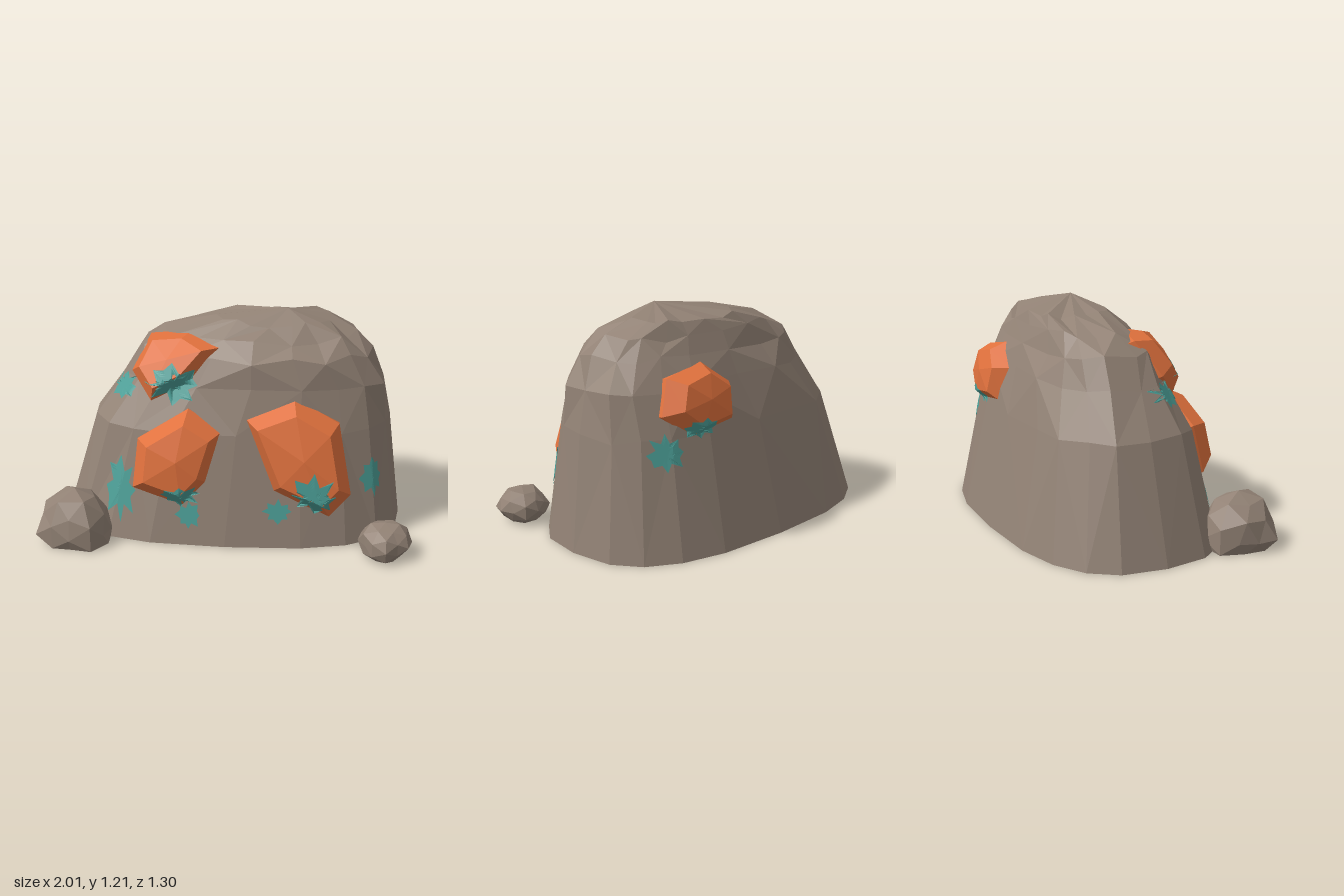
import * as THREE from 'three';

const stone = new THREE.MeshStandardMaterial({ color: 0x928275, side: THREE.DoubleSide });
const orange = new THREE.MeshStandardMaterial({ color: 0xe0713d, side: THREE.DoubleSide });
const teal = new THREE.MeshStandardMaterial({ color: 0x4c9f97, side: THREE.DoubleSide });
stone.name = 'stone';
orange.name = 'orange crystal';
teal.name = 'teal moss';

// Small seeded random, -1 to 1
function seeded(seed) {
  let s = seed;
  return () => {
    s = (s * 16807) % 2147483647;
    return (s / 2147483647) * 2 - 1;
  };
}

// Faceted mesh from a list of triangles, each made of three Vector3
function facets(name, triangles, material) {
  const geometry = new THREE.BufferGeometry().setFromPoints(triangles.flat());
  geometry.computeVertexNormals();
  const mesh = new THREE.Mesh(geometry, material);
  mesh.name = name;
  return mesh;
}

// Hollow rock mound, lofted through squarish rings
function makeMound() {
  const rand = seeded(77);
  const N = 20;
  // y, xMin, xMax, zFront, zBack, front squareness, back squareness, left-front recess, jitter
  const rings = [
    [0, -0.94, 0.97, 0.48, -0.65, 2.75, 2.75, 0, 0],
    [0.6, -0.765, 0.89, 0.37, -0.515, 2.7, 2.7, 0, 0.012],
    [0.84, -0.6, 0.865, 0.33, -0.44, 2.4, 2.7, 0.25, 0.016],
    [0.98, -0.49, 0.77, 0.31, -0.38, 2.3, 2.9, 0.38, 0.018],
    [1.07, -0.36, 0.68, 0.22, -0.34, 2.3, 2.9, 0.33, 0.018],
    [1.14, -0.08, 0.55, 0.12, -0.295, 2.2, 2.9, 0, 0.016],
  ];
  const power = (v, e) => Math.sign(v) * Math.abs(v) ** (2 / e);
  const loops = rings.map(([y, x0, x1, z1, z0, eFront, eBack, recess, j]) =>
    Array.from({ length: N }, (_, i) => {
      const a = (i / N) * Math.PI * 2;
      const e = Math.sin(a) > 0 ? eFront : eBack;
      const u = power(Math.cos(a), e);
      let w = power(Math.sin(a), e);
      if (w > 0 && u < 0) w *= 1 + recess * u;
      return new THREE.Vector3(
        (x0 + x1) / 2 + (u * (x1 - x0)) / 2 + rand() * j,
        y + rand() * j * 1.2,
        (z0 + z1) / 2 + (w * (z1 - z0)) / 2 + rand() * j);
    }));
  const tris = [];
  for (let r = 0; r < loops.length - 1; r++) {
    for (let i = 0; i < N; i++) {
      const k = (i + 1) % N;
      const a = loops[r][i], b = loops[r][k], c = loops[r + 1][i], d = loops[r + 1][k];
      if ((i + r) % 2) tris.push([a, c, b], [b, c, d]);
      else tris.push([a, c, d], [a, d, b]);
    }
  }
  const top = loops[loops.length - 1];
  const peak = new THREE.Vector3(0.32, 1.205, 0);
  top.forEach((p, i) => tris.push([p, peak, top[(i + 1) % N]]));
  return facets('rockMound', tris, stone);
}

// Crystal: outline on the rock, bevelled up to a smaller faceted crown, open at the root
function makeCrystal(name, points, out, shrink) {
  const outline = points.map((p) => new THREE.Vector3(...p));
  const push = new THREE.Vector3(...out);
  const n = outline.length;
  const centre = outline.reduce((s, p) => s.add(p), new THREE.Vector3()).divideScalar(n);
  const crown = outline.map((p) => p.clone().lerp(centre, shrink).add(push));
  const root = outline.map((p) => p.clone().addScaledVector(push, -0.75));
  const apex = centre.clone().addScaledVector(push, 1.25);
  const tris = [];
  for (let i = 0; i < n; i++) {
    const k = (i + 1) % n;
    tris.push([root[i], outline[i], root[k]], [root[k], outline[i], outline[k]]);
    tris.push([outline[i], crown[i], outline[k]], [crown[i], crown[k], outline[k]]);
    tris.push([crown[i], apex, crown[k]]);
  }
  return facets(name, tris, orange);
}

// Jagged moss patch draped over the solids along dir, with a sheet on each side of the surface
function makePatch(solids, centre, dir, width, height, seed) {
  const rand = seeded(seed);
  const ray = new THREE.Raycaster();
  const d = new THREE.Vector3(...dir).normalize();
  const c = new THREE.Vector3(...centre);
  const right = new THREE.Vector3().crossVectors(d, new THREE.Vector3(0, 1, 0)).normalize();
  const up = new THREE.Vector3().crossVectors(right, d);
  const drape = (x, y) => {
    const p = c.clone().addScaledVector(right, x).addScaledVector(up, y);
    ray.set(p.clone().addScaledVector(d, -2), d);
    const hit = ray.intersectObject(solids, true)[0];
    return hit ? hit.point : p;
  };
  const spikes = 16, steps = 8;
  const rays = Array.from({ length: spikes }, (_, i) => {
    const a = (i / spikes) * Math.PI * 2;
    const r = i % 2 ? 0.62 + rand() * 0.14 : 0.97 + rand() * 0.12;
    return Array.from({ length: steps + 1 }, (_, s) =>
      drape((Math.cos(a) * r * width * s) / steps / 2, (Math.sin(a) * r * height * s) / steps / 2));
  });
  const tris = [];
  rays.forEach((p, i) => {
    const q = rays[(i + 1) % spikes];
    for (let s = 0; s < steps; s++) {
      tris.push([p[s], p[s + 1], q[s + 1]]);
      if (s) tris.push([p[s], q[s + 1], q[s]]);
    }
  });
  const shifted = (t, amount) => t.map((p) => p.clone().addScaledVector(d, amount));
  const outer = tris.map((t) => shifted(t, -0.005));
  const inner = tris.map((t) => shifted(t, 0.0045).reverse());
  return facets('mossPatch', [...outer, ...inner], teal);
}

// Loose boulder: dented ball cut open at the ground
function makeBoulder(name, centre, size, seed) {
  const pos = new THREE.IcosahedronGeometry(1, 1).attributes.position;
  const corners = Array.from({ length: pos.count }, (_, i) => {
    const v = new THREE.Vector3().fromBufferAttribute(pos, i);
    const dent = 0.95 + 0.09 * Math.sin(Math.round(v.x * 50) * 1.7 + Math.round(v.y * 50) * 2.3 + Math.round(v.z * 50) * 3.1 + seed);
    return new THREE.Vector3(
      centre[0] + v.x * dent * size[0],
      Math.max(0, centre[1] + v.y * dent * size[1]),
      centre[2] + v.z * dent * size[2]);
  });
  const tris = [];
  for (let i = 0; i < corners.length; i += 3) {
    const t = corners.slice(i, i + 3);
    if (t.some((p) => p.y > 0)) tris.push(t);
  }
  return facets(name, tris, stone);
}

export function createModel() {
  const model = new THREE.Group();
  model.name = 'crystalRock';
  const solids = new THREE.Group();
  solids.name = 'rockAndCrystals';
  solids.add(makeMound());

  // Two large crystals on the sloping front wall
  const onFront = (list) => list.map(([x, y]) => [x, y, 0.465 - 0.2 * y]);
  solids.add(
    makeCrystal('frontRightCrystal', onFront([[-0.19, 0.725], [0, 0.615], [-0.085, 0.34], [-0.21, 0.21], [-0.485, 0.3], [-0.46, 0.56]]),
      [0, 0.02, 0.105], 0.29),
    makeCrystal('frontLeftCrystal', onFront([[0.37, 0.8], [0.61, 0.67], [0.68, 0.3], [0.57, 0.18], [0.27, 0.305], [0.1, 0.695]]),
      [0, 0.015, 0.11], 0.26));

  // Crystal on the shoulder and crystal on the back
  solids.add(
    makeCrystal('shoulderCrystal', [[-0.43, 1.05, 0], [-0.2, 1.08, 0.04], [-0.03, 1.03, 0.2], [-0.19, 0.85, 0.25], [-0.4, 0.74, 0.25], [-0.52, 0.87, 0.12]],
      [-0.015, 0.025, 0.08], 0.3),
    makeCrystal('backCrystal', [[0.6, 0.9, -0.39], [0.36, 0.95, -0.38], [0.2, 0.83, -0.43], [0.22, 0.63, -0.47], [0.5, 0.59, -0.46], [0.66, 0.72, -0.42]],
      [0, 0.015, -0.085], 0.32));
  model.add(solids);

  // Moss patches on rock and crystals: centre, ray direction, width, height
  [
    [[-0.56, 0.27, 0.4], [0, 0, -1], 0.2, 0.36],
    [[-0.18, 0.165, 0.45], [0, 0, -1], 0.14, 0.16],
    [[0.3, 0.2, 0.44], [0, 0, -1], 0.17, 0.13],
    [[0.81, 0.35, 0.27], [-0.75, 0, -0.65], 0.16, 0.23],
    [[-0.57, 0.79, 0.15], [0.3, -0.2, -1], 0.2, 0.16],
    [[-0.28, 0.84, 0.25], [0, 0, -1], 0.32, 0.22],
    [[0.66, 0.54, -0.45], [-0.35, 0, 1], 0.22, 0.2],
    [[-0.22, 0.285, 0.45], [0, 0, -1], 0.24, 0.14],
    [[0.49, 0.315, 0.45], [0, 0, -1], 0.27, 0.26],
    [[0.46, 0.645, -0.5], [0, 0.2, 1], 0.22, 0.13],
  ].forEach(([c, d, w, h], i) => model.add(makePatch(solids, c, d, w, h, 31 + i * 97)));

  // Boulders at the front corners
  model.add(
    makeBoulder('rightBoulder', [-0.8, 0.06, 0.42], [0.225, 0.235, 0.22], 1),
    makeBoulder('leftBoulder', [0.865, 0.08, 0.49], [0.14, 0.115, 0.155], 4));
  return model;
}
